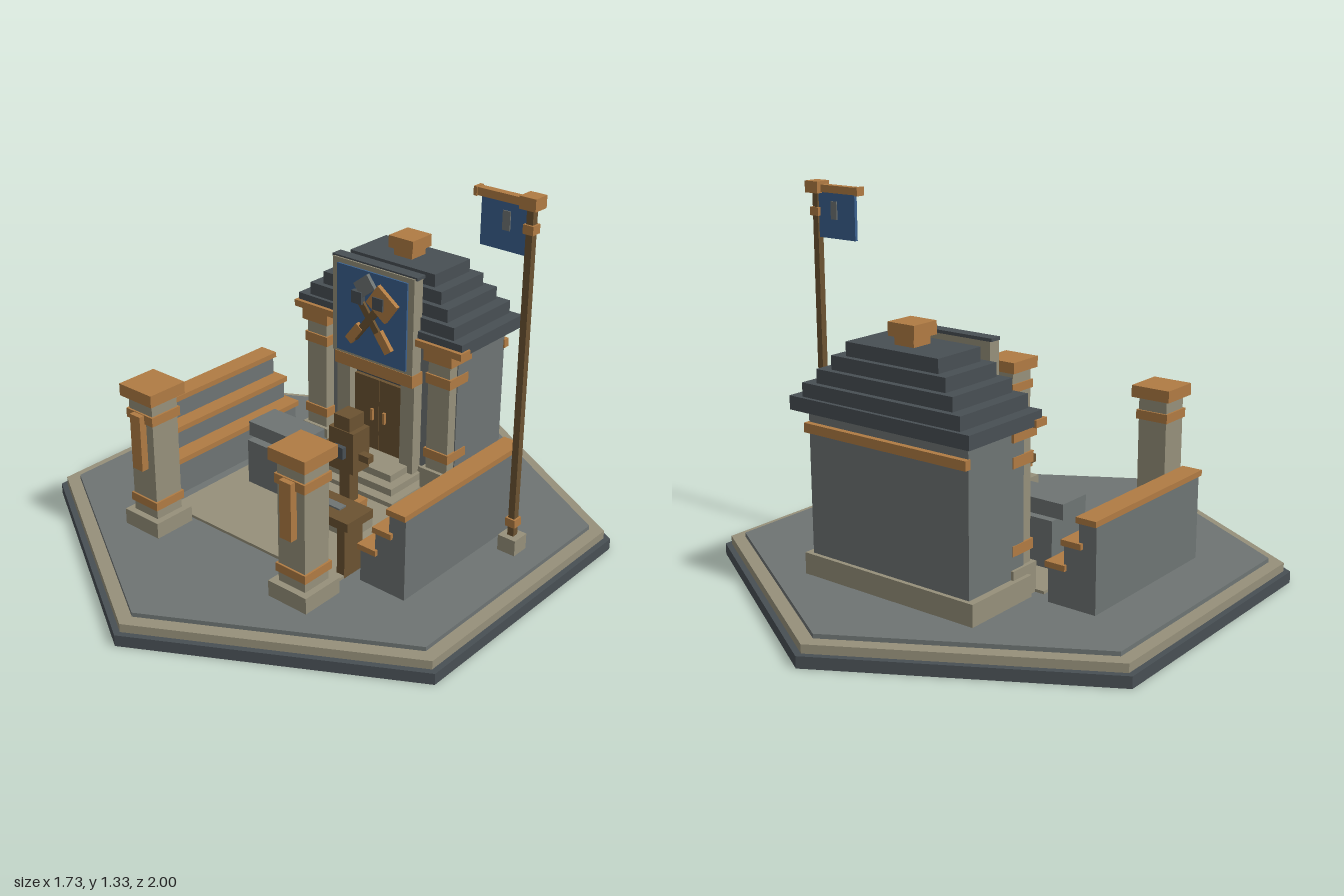
import * as THREE from 'three';

const mat = (name, color) => {
  const m = new THREE.MeshStandardMaterial({ color });
  m.name = name;
  return m;
};

export function createModel() {
  const stone = mat('grey stone', 0x6e7473);
  const tan = mat('pale stone', 0x96907a);
  const copper = mat('copper', 0xb07b43);
  const wood = mat('brown wood', 0x6b5231);
  const blue = mat('blue cloth', 0x3b618e);
  const slate = mat('dark slate', 0x484f54);

  const model = new THREE.Group();
  const group = (name, x = 0, y = 0, z = 0, parent = model) => {
    const g = new THREE.Group();
    g.name = name;
    g.position.set(x, y, z);
    parent.add(g);
    return g;
  };
  // box given by its limits on each axis
  const box = (parent, name, m, x0, x1, y0, y1, z0, z1) => {
    const mesh = new THREE.Mesh(new THREE.BoxGeometry(x1 - x0, y1 - y0, z1 - z0), m);
    mesh.position.set((x0 + x1) / 2, (y0 + y1) / 2, (z0 + z1) / 2);
    mesh.name = name;
    parent.add(mesh);
    return mesh;
  };
  // square block centred on its group's axis
  const block = (parent, name, m, half, y0, y1) =>
    box(parent, name, m, -half, half, y0, y1, -half, half);

  // hexagonal base in three layers
  const base = group('base');
  [['baseFoot', slate, 1, 0, 0.04], ['baseRim', tan, 0.977, 0.04, 0.07], ['baseFloor', stone, 0.925, 0.07, 0.085]]
    .forEach(([name, m, r, y0, y1]) => {
      const mesh = new THREE.Mesh(new THREE.CylinderGeometry(r, r, y1 - y0, 6).toNonIndexed(), m);
      mesh.geometry.computeVertexNormals();
      mesh.position.y = (y0 + y1) / 2;
      mesh.name = name;
      base.add(mesh);
    });
  box(base, 'courtyard', tan, -0.375, 0.375, 0.085, 0.095, -0.26, 0.4);

  // main hall
  const hall = group('hall');
  box(hall, 'plinth', tan, -0.355, 0.355, 0.085, 0.16, -0.6, -0.3);
  box(hall, 'walls', stone, -0.33, 0.33, 0.16, 0.66, -0.585, -0.31);
  box(hall, 'backTrim', copper, -0.335, 0.335, 0.58, 0.612, -0.605, -0.58);
  box(hall, 'frontTrim', copper, -0.378, 0.378, 0.652, 0.677, -0.31, -0.255);

  // stepped roof with a cap
  const roof = group('roof', 0, 0, -0.45);
  [[0.37, 0.18], [0.325, 0.166], [0.28, 0.145], [0.235, 0.123], [0.19, 0.102]].forEach(([hx, hz], i) => {
    const y = 0.656 + i * 0.047;
    box(roof, 'roofTier', slate, -hx, hx, y, y + 0.047, -hz, hz);
  });
  block(roof, 'roofCapNeck', copper, 0.04, 0.89, 0.92);
  block(roof, 'roofCap', copper, 0.054, 0.92, 0.965);

  // doorway and steps
  const door = group('doorway');
  box(door, 'doorRecess', slate, -0.12, 0.12, 0.16, 0.5, -0.315, -0.305);
  for (const s of [-1, 1]) {
    const x = s * 0.0575;
    box(door, 'doorLeaf', wood, x - 0.0565, x + 0.0565, 0.165, 0.45, -0.306, -0.29);
    box(door, 'doorHandle', copper, s * 0.028 - 0.005, s * 0.028 + 0.005, 0.285, 0.33, -0.29, -0.28);
    box(door, 'doorJamb', tan, s * 0.147 - 0.03, s * 0.147 + 0.03, 0.09, 0.5, -0.32, -0.265);
  }
  box(door, 'lintel', copper, -0.178, 0.178, 0.488, 0.535, -0.32, -0.25);
  [[0.225, -0.09], [0.19, -0.13], [0.155, -0.17]].forEach(([hx, z], i) =>
    box(door, 'step', tan, -hx, hx, 0.085 + i * 0.027, 0.112 + i * 0.027, -0.31, z));

  // sign with crossed tools
  const sign = group('sign');
  box(sign, 'signFrame', tan, -0.182, 0.182, 0.54, 0.9, -0.292, -0.244);
  box(sign, 'signTopEdge', slate, -0.19, 0.19, 0.895, 0.906, -0.294, -0.25);
  box(sign, 'signPanel', blue, -0.157, 0.157, 0.552, 0.882, -0.246, -0.237);
  const tool = (name, m, x, y, w, h, angle, z1) => {
    const mesh = box(sign, name, m, x - w / 2, x + w / 2, y - h / 2, y + h / 2, -0.24, z1);
    mesh.rotation.z = angle;
  };
  for (const s of [-1, 1]) {
    tool('toolHandle', wood, 0, 0.71, 0.026, 0.22, s * 0.66, s > 0 ? -0.226 : -0.223);
    tool('toolGrip', copper, s * 0.066, 0.64, 0.034, 0.082, s * 0.66, -0.22);
  }
  tool('pickHead', stone, -0.022, 0.83, 0.075, 0.06, 0.66, -0.222);
  tool('hammerHead', copper, 0.057, 0.782, 0.105, 0.09, -0.62, -0.22);
  tool('toolRivet', slate, -0.052, 0.782, 0.046, 0.046, 0, -0.216);
  tool('toolRivet', slate, 0.045, 0.782, 0.046, 0.046, 0, -0.214);

  for (const s of [-1, 1]) {
    // columns beside the door
    const column = group('doorColumn', s * 0.28, 0, -0.315);
    block(column, 'columnBase', tan, 0.06, 0.085, 0.19);
    block(column, 'columnShaft', tan, 0.046, 0.19, 0.615);
    block(column, 'columnRing', copper, 0.053, 0.235, 0.27);
    block(column, 'columnRing', copper, 0.053, 0.525, 0.562);
    block(column, 'columnCapital', copper, 0.06, 0.612, 0.652);

    // free-standing gate pillars
    const pillar = group('gatePillar', s * 0.337, 0, 0.495);
    block(pillar, 'pillarBase', tan, 0.08, 0.085, 0.142);
    block(pillar, 'pillarShaft', tan, 0.056, 0.142, 0.58);
    block(pillar, 'pillarRing', copper, 0.063, 0.178, 0.208);
    block(pillar, 'pillarRing', copper, 0.063, 0.497, 0.53);
    block(pillar, 'pillarCap', copper, 0.076, 0.577, 0.62);
    box(pillar, 'pillarPlate', copper, -0.024, 0.024, 0.325, 0.528, 0.05, 0.083);

    // stepped side walls
    const wall = group('sideWall');
    [[0.6, 0.535, 0.378], [0.545, 0.48, 0.292], [0.485, 0.42, 0.207]].forEach(([a, b, y]) => {
      const x = s * (a + b) / 2, h = (a - b) / 2;
      box(wall, 'wallStep', stone, x - h, x + h, 0.085, y, -0.3, 0.315);
      box(wall, 'wallCoping', copper, x - h - 0.005, x + h + 0.005, y, y + 0.02, -0.312, 0.327);
    });
  }

  // banner pole
  const pole = group('bannerPole', 0.682, 0, -0.163);
  block(pole, 'poleBase', tan, 0.034, 0.085, 0.142);
  block(pole, 'pole', wood, 0.012, 0.142, 1.29);
  block(pole, 'poleRing', copper, 0.019, 0.178, 0.208);
  block(pole, 'poleRing', copper, 0.019, 1.205, 1.235);
  block(pole, 'poleCap', copper, 0.03, 1.285, 1.326);
  box(pole, 'crossbar', copper, -0.2, 0, 1.289, 1.315, -0.014, 0.014);
  box(pole, 'crossbarEnd', copper, -0.206, -0.194, 1.287, 1.317, -0.018, 0.018);
  box(pole, 'banner', blue, -0.182, 0.004, 1.13, 1.29, -0.006, 0.006);
  box(pole, 'bannerEmblem', stone, -0.1, -0.072, 1.197, 1.26, -0.01, 0.01);

  // stone block with a slab on top
  const hearth = group('stoneBench');
  box(hearth, 'benchBody', stone, -0.287, -0.08, 0.09, 0.265, -0.095, 0.1);
  box(hearth, 'benchSlab', stone, -0.31, -0.065, 0.265, 0.32, -0.065, 0.068);

  // wooden dummy on a post
  const dummy = group('dummy', 0.192, 0, 0.105);
  block(dummy, 'dummyBase', tan, 0.058, 0.09, 0.142);
  block(dummy, 'dummyPost', wood, 0.022, 0.142, 0.34);
  block(dummy, 'dummyRing', copper, 0.045, 0.178, 0.208);
  box(dummy, 'dummyBody', wood, -0.053, 0.053, 0.335, 0.487, -0.042, 0.042);
  box(dummy, 'dummyHead', wood, -0.034, 0.034, 0.487, 0.537, -0.035, 0.038);
  box(dummy, 'dummyArms', wood, -0.095, 0.095, 0.38, 0.405, -0.014, 0.014);
  box(dummy, 'dummyTarget', slate, -0.023, 0.023, 0.39, 0.432, 0.04, 0.06);

  // work table
  const table = group('workTable', 0.26, 0, 0.298);
  box(table, 'tableTop', wood, -0.145, 0.145, 0.277, 0.308, -0.063, 0.065);
  box(table, 'tableInset', stone, -0.07, 0.07, 0.3, 0.314, -0.016, 0.016);
  for (const x of [-0.1, 0.1])
    box(table, 'tableLeg', wood, x - 0.016, x + 0.016, 0.085, 0.28, -0.045, 0.045);

  return model;
}
